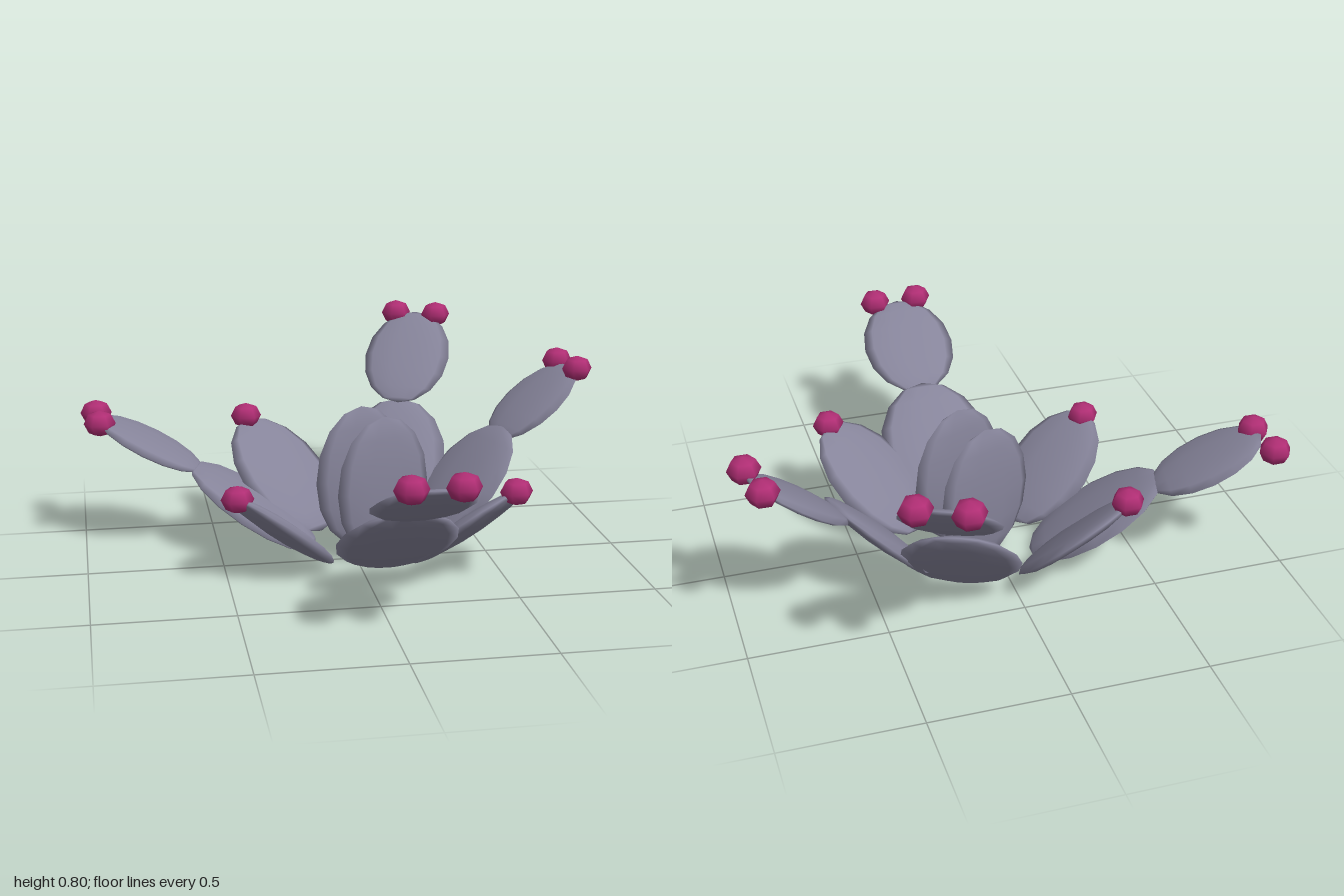
import * as THREE from 'three';

export function createModel() {
  const model = new THREE.Group();
  model.name = 'pricklyPear';
  const padMaterial = new THREE.MeshStandardMaterial({ color: 0x86849a });
  padMaterial.name = 'dusty violet grey';
  const fruitMaterial = new THREE.MeshStandardMaterial({ color: 0xb02e74 });
  fruitMaterial.name = 'magenta fruit';
  const padGeometry = new THREE.SphereGeometry(1, 10, 8);
  const fruitGeometry = new THREE.SphereGeometry(0.06, 6, 4);

  // Flattened ellipsoid: leans towards (dx, dz), pitch degrees above the ground
  function addPad(name, center, [dx, dz], pitch, length, width, thickness = 0.07) {
    const out = new THREE.Vector2(dx, dz).normalize();
    const p = THREE.MathUtils.degToRad(pitch);
    const along = new THREE.Vector3(out.x * Math.cos(p), Math.sin(p), out.y * Math.cos(p));
    const across = new THREE.Vector3(out.y, 0, -out.x);
    const normal = new THREE.Vector3().crossVectors(across, along);
    const pad = new THREE.Mesh(padGeometry, padMaterial);
    pad.name = name;
    pad.quaternion.setFromRotationMatrix(new THREE.Matrix4().makeBasis(across, along, normal));
    pad.scale.set(width / 2, length / 2, thickness / 2);
    pad.position.set(...center);
    model.add(pad);
  }

  // Two upright pads in the middle
  addPad('uprightPadFront', [0.1, 0.285, 0.01], [0.39, 0.92], 90, 0.55, 0.4);
  addPad('uprightPadBack', [0.045, 0.285, -0.155], [0.39, 0.92], 90, 0.55, 0.4);

  // Spreading pads growing from the ground
  addPad('frontPad', [0.085, 0.195, 0.355], [0, 1], 38, 0.57, 0.44);
  addPad('frontLeftPad', [0.373, 0.19, 0.225], [0.7, 0.71], 40, 0.53, 0.41);
  addPad('leftPad', [0.455, 0.22, -0.215], [0.94, -0.34], 47, 0.55, 0.43);
  addPad('backPad', [0.225, 0.235, -0.462], [0.36, -0.93], 50, 0.58, 0.43);
  addPad('backRightPad', [-0.215, 0.225, -0.42], [-0.62, -0.78], 44, 0.55, 0.44);
  addPad('rightPad', [-0.36, 0.165, -0.22], [-0.95, -0.3], 33, 0.57, 0.44);
  addPad('frontRightPad', [-0.298, 0.18, 0.122], [-0.88, 0.48], 39, 0.51, 0.37);

  // Smaller pads on the tips
  addPad('frontTipPad', [0.093, 0.455, 0.75], [0, 1], 30, 0.44, 0.36, 0.055);
  addPad('leftTipPad', [0.76, 0.505, -0.325], [0.94, -0.34], 37, 0.43, 0.33, 0.055);
  addPad('backTipPad', [0.343, 0.605, -0.755], [0.4, -0.92], 42, 0.46, 0.35, 0.055);
  addPad('rightTipPad', [-0.742, 0.4, -0.34], [-0.97, -0.22], 27, 0.44, 0.34, 0.055);

  // Fruits along the pad rims
  [
    [0.013, 0.573, 0.94], [0.183, 0.573, 0.94],
    [0.895, 0.638, -0.455], [0.93, 0.638, -0.295],
    [0.333, 0.755, -0.945], [0.487, 0.755, -0.875],
    [-0.94, 0.493, -0.485], [-0.93, 0.493, -0.32],
    [0.51, 0.365, 0.38], [-0.465, 0.335, 0.212], [-0.35, 0.435, -0.562],
  ].forEach((position, i) => {
    const fruit = new THREE.Mesh(fruitGeometry, fruitMaterial);
    fruit.name = `fruit${i + 1}`;
    fruit.position.set(...position);
    fruit.scale.y = 0.84;
    model.add(fruit);
  });

  return model;
}
